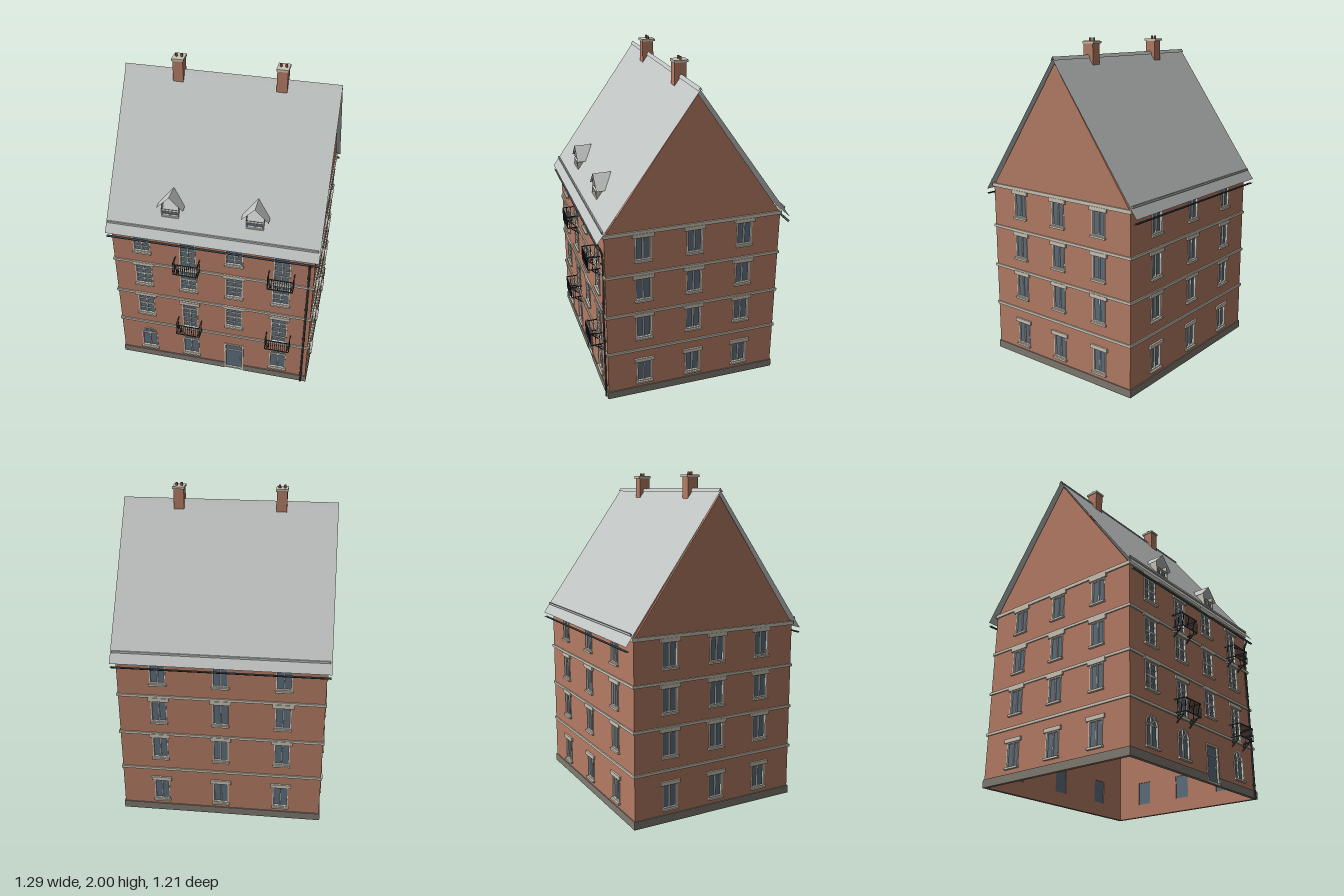
import * as THREE from 'three';

const mat = (name, color, double) => {
  const m = new THREE.MeshStandardMaterial({ color });
  m.name = name;
  if (double) m.side = THREE.DoubleSide;
  return m;
};
const M = {
  brick: mat('brick', 0xb57c65),
  roof: mat('roofSheet', 0xbfc3c1, true),
  stone: mat('stone', 0xcbc4b5, true),
  plinth: mat('plinthStone', 0x807a71),
  glass: mat('glass', 0x5d6e7c, true),
  frame: mat('windowFrame', 0xe0ddd2),
  iron: mat('iron', 0x3f4348, true),
  pot: mat('chimneyPot', 0x8f5443),
};

function add(parent, name, geo, material, x = 0, y = 0, z = 0) {
  const m = new THREE.Mesh(geo, material);
  m.name = name;
  m.position.set(x, y, z);
  parent.add(m);
  return m;
}
const box = (p, name, material, x, y, z, w, h, d) =>
  add(p, name, new THREE.BoxGeometry(w, h, d), material, x, y, z);
function group(parent, name, x = 0, y = 0, z = 0) {
  const g = new THREE.Group();
  g.name = name;
  g.position.set(x, y, z);
  parent.add(g);
  return g;
}
// flat four-cornered sheet
function sheet(p, name, material, a, b, c, d) {
  const g = new THREE.BufferGeometry();
  g.setAttribute('position', new THREE.Float32BufferAttribute([...a, ...b, ...c, ...d], 3));
  g.setIndex([0, 1, 2, 0, 2, 3]);
  g.computeVertexNormals();
  return add(p, name, g, material);
}
// opening outline, optionally with a round top
function outline(T, o, inset = 0) {
  const s = new T(), r = o.w / 2 - inset, b = o.y0 + inset;
  s.moveTo(o.x - r, b);
  s.lineTo(o.x + r, b);
  if (o.arch) s.absarc(o.x, o.y1 - o.w / 2, r, 0, Math.PI, false);
  else {
    s.lineTo(o.x + r, o.y1 - inset);
    s.lineTo(o.x - r, o.y1 - inset);
  }
  s.closePath();
  return s;
}

// window or door: pane, frame, glazing bars, lintel and sill
function fitOpening(face, o) {
  const g = group(face, o.name), h = o.y1 - o.y0, t = o.door ? 0.012 : 0.007;
  add(g, 'pane', new THREE.ShapeGeometry(outline(THREE.Shape, o)), M.glass, 0, 0, -0.01);
  const ring = outline(THREE.Shape, o);
  ring.holes.push(outline(THREE.Path, o, t));
  add(g, 'frame', new THREE.ExtrudeGeometry(ring, { depth: 0.012, bevelEnabled: false }),
    o.door ? M.stone : M.frame, 0, 0, -0.008);
  const spring = o.arch ? o.y1 - o.w / 2 : o.y1;
  if (!o.door) box(g, 'mullion', M.frame, o.x, (o.y0 + o.y1) / 2, -0.005, 0.008, h, 0.008);
  for (const [f, t2] of o.bars || [])
    box(g, 'glazingBar', M.frame, o.x, o.y0 + h * f, -0.005, o.w, t2, 0.007);
  if (o.arch) {
    box(g, 'transom', M.frame, o.x, spring, -0.005, o.w, 0.008, 0.008);
    for (const s of [-1, 1]) {
      const a = s * 0.8, l = o.w / 2;
      box(g, 'fanBar', M.frame, o.x + Math.sin(a) * l / 2, spring + Math.cos(a) * l / 2, -0.005,
        0.004, l, 0.006).rotation.z = -a;
    }
  }
  if (o.lintel) box(g, 'lintel', M.stone, o.x, o.y1 + 0.01, 0.003, o.w + 0.032, 0.024, 0.016);
  if (o.sill) box(g, 'sill', M.stone, o.x, o.y0 - 0.005, 0.004, o.w + 0.012, 0.012, 0.022);
  if (o.door) box(g, 'doorHandle', M.frame, o.x + 0.042, o.y0 + 0.1, -0.006, 0.005, 0.014, 0.008);
}

// one facade in its own plane, facing +z
function facade(root, name, w, openings, gable, x, z, turn) {
  const f = group(root, name, x, 0, z), h = w / 2, wall = new THREE.Shape();
  f.rotation.y = turn;
  wall.moveTo(-h, 0);
  wall.lineTo(h, 0);
  wall.lineTo(h, 1.11);
  if (gable) {
    wall.lineTo(h - 0.012, 1.115);
    wall.lineTo(0, 1.865);
    wall.lineTo(-h + 0.012, 1.115);
  }
  wall.lineTo(-h, 1.11);
  wall.closePath();
  for (const o of openings) wall.holes.push(outline(THREE.Path, o));
  add(f, 'wall', new THREE.ExtrudeGeometry(wall, { depth: 0.015, bevelEnabled: false, curveSegments: 10 }),
    M.brick, 0, 0, -0.015);
  openings.forEach(o => fitOpening(f, o));
  for (const y of [0.317, 0.574, 0.836]) box(f, 'stringCourse', M.stone, 0, y, 0.001, w + 0.016, 0.016, 0.014);
  box(f, 'cornice', M.stone, 0, 1.1, 0.001, w + 0.016, 0.022, 0.014);
  // plinth, broken by a door
  const door = openings.find(o => o.door);
  const spans = door ? [[-h - 0.006, door.x - door.w / 2], [door.x + door.w / 2, h + 0.006]] : [[-h - 0.006, h + 0.006]];
  for (const [a, b] of spans) box(f, 'plinth', M.plinth, (a + b) / 2, 0.024, -0.004, b - a, 0.048, 0.02);
  return f;
}

// wire balcony with scroll brackets
function balcony(face, x, y) {
  const b = group(face, 'balcony', x, y, 0), w = 0.152, d = 0.072, h = 0.083;
  for (const v of [0.004, h]) {
    box(b, 'frontRail', M.iron, 0, v, d, w, 0.005, 0.005);
    for (const s of [-1, 1]) box(b, 'sideRail', M.iron, s * w / 2, v, d / 2, 0.005, 0.005, d);
  }
  for (let i = 0; i <= 12; i++)
    box(b, 'baluster', M.iron, w * (i / 12 - 0.5), h / 2, d, 0.003, h, 0.003);
  for (const s of [-1, 1]) {
    for (const z of [0.02, 0.045]) box(b, 'sideBaluster', M.iron, s * w / 2, h / 2, z, 0.003, h, 0.003);
    box(b, 'bracketStrut', M.iron, s * 0.062, -0.028, 0.024, 0.006, 0.004, 0.062).rotation.x = -0.68;
    box(b, 'bracketTop', M.iron, s * 0.062, -0.006, 0.025, 0.006, 0.004, 0.05);
    add(b, 'bracketScroll', new THREE.TorusGeometry(0.01, 0.0025, 5, 12), M.iron, s * 0.062, -0.018, 0.016)
      .rotation.y = Math.PI / 2;
  }
}

export function createModel() {
  const root = new THREE.Group();
  root.name = 'townhouse';
  const cz = -0.0075, rz = -0.013, top = 1.89, eave = 1.07, run = 0.588;

  // front openings
  const cols = [-0.436, -0.148, 0.14, 0.43], front = [];
  const sash = [[0.25, 0.004], [0.5, 0.011], [0.75, 0.004]];
  cols.forEach((x, i) => {
    if (i === 2) front.push({ name: 'frontDoor', x, y0: 0.003, y1: 0.233, w: 0.128, door: true, bars: [[0.73, 0.008]] });
    else front.push({ name: 'archedWindow', x, y0: 0.085, y1: 0.258, w: 0.106, arch: true, sill: true });
    [[0.4, 0.56], [0.662, 0.82], [0.927, 1.072]].forEach(([y0, y1], row) => {
      if (i % 2 && row !== 1)
        front.push({ name: 'balconyDoor', x, y0: row ? 0.846 : 0.327, y1: row ? 1.05 : 0.535, w: 0.1, lintel: true,
          bars: [[0.2, 0.004], [0.4, 0.004], [0.6, 0.004], [0.77, 0.009]] });
      else front.push({ name: 'sashWindow', x, y0, y1, w: 0.106, bars: sash, lintel: true, sill: true });
    });
  });
  // plain windows for the other three sides
  const plain = xs => xs.flatMap(x => [[0.085, 0.232], [0.4, 0.55], [0.66, 0.806], [0.922, 1.07]].map(
    ([y0, y1]) => ({ name: 'window', x, y0, y1, w: 0.095, lintel: true, sill: true })));

  const ff = facade(root, 'frontFacade', 1.24, front, false, 0, 0.53, 0);
  facade(root, 'backFacade', 1.24, plain([-0.375, 0, 0.375]), false, 0, -0.545, Math.PI);
  for (const s of [-1, 1])
    facade(root, s > 0 ? 'leftFacade' : 'rightFacade', 1.075, plain([-0.311, 0, 0.311]), true, s * 0.62, cz, s * Math.PI / 2);
  for (const x of [cols[1], cols[3]]) for (const y of [0.322, 0.841]) balcony(ff, x, y);

  // roof slopes, ridge cap, snow guards and gutters
  const R = 0.643;
  for (const s of [-1, 1]) {
    const slope = (name, y0, z0, y1) => sheet(root, name, M.roof,
      [-s * R, y0, rz + s * z0], [s * R, y0, rz + s * z0], [s * R, y1, rz], [-s * R, y1, rz]);
    slope('roofSlope', eave, run, top);
    slope('ridgeCap', top - 0.006, 0.013, 1.904);
    box(root, 'snowGuard', M.roof, 0, 1.132, rz + s * 0.552, 1.265, 0.012, 0.008);
    const gutter = add(root, 'gutter', new THREE.CylinderGeometry(0.008, 0.008, 1.28, 10, 1, true, 0, Math.PI),
      M.iron, 0, 1.046, rz + s * 0.58);
    gutter.rotation.z = -Math.PI / 2;
  }
  // downpipe
  const pipe = new THREE.CatmullRomCurve3([[0, 0.54], [0.5, 0.54], [1.0, 0.54], [1.025, 0.555], [1.045, 0.565]]
    .map(([y, z]) => new THREE.Vector3(0.59, y, z)));
  add(root, 'downpipe', new THREE.TubeGeometry(pipe, 30, 0.006, 8), M.iron);
  for (const y of [0.08, 0.4, 0.66, 0.92]) box(root, 'pipeClip', M.iron, 0.59, y, 0.538, 0.018, 0.006, 0.016);

  // dormers
  for (const x of [-0.256, 0.252]) {
    const d = group(root, 'dormer', x, 0, 0);
    for (const s of [-1, 1]) {
      const q = [[s * 0.081, 1.25, 0.497], [0, 1.335, 0.497], [0, 1.335, 0.38], [s * 0.081, 1.25, 0.437]];
      sheet(d, 'dormerRoof', M.roof, ...(s > 0 ? [q[0], q[3], q[2], q[1]] : q));
      sheet(d, 'dormerCheek', M.stone, [s * 0.052, 1.16, 0.488], [s * 0.052, 1.16, 0.44],
        [s * 0.052, 1.278, 0.44], [s * 0.052, 1.278, 0.488]);
    }
    const o = { name: 'dormerWindow', x: 0, y0: 1.19, y1: 1.237, w: 0.104 };
    fitOpening(group(d, 'dormerFront', 0, 0, 0.488), o);
  }

  // chimneys with caps and pots
  for (const x of [-0.31, 0.304]) {
    const c = group(root, 'chimney', x, 0, -0.01);
    box(c, 'stack', M.brick, 0, 1.885, 0, 0.062, 0.17, 0.07);
    box(c, 'cap', M.stone, 0, 1.975, -0.002, 0.071, 0.014, 0.086);
    for (const s of [-1, 1])
      add(c, 'pot', new THREE.CylinderGeometry(0.007, 0.008, 0.022, 12), M.pot, s * 0.016, 1.989, -0.003);
  }
  return root;
}
